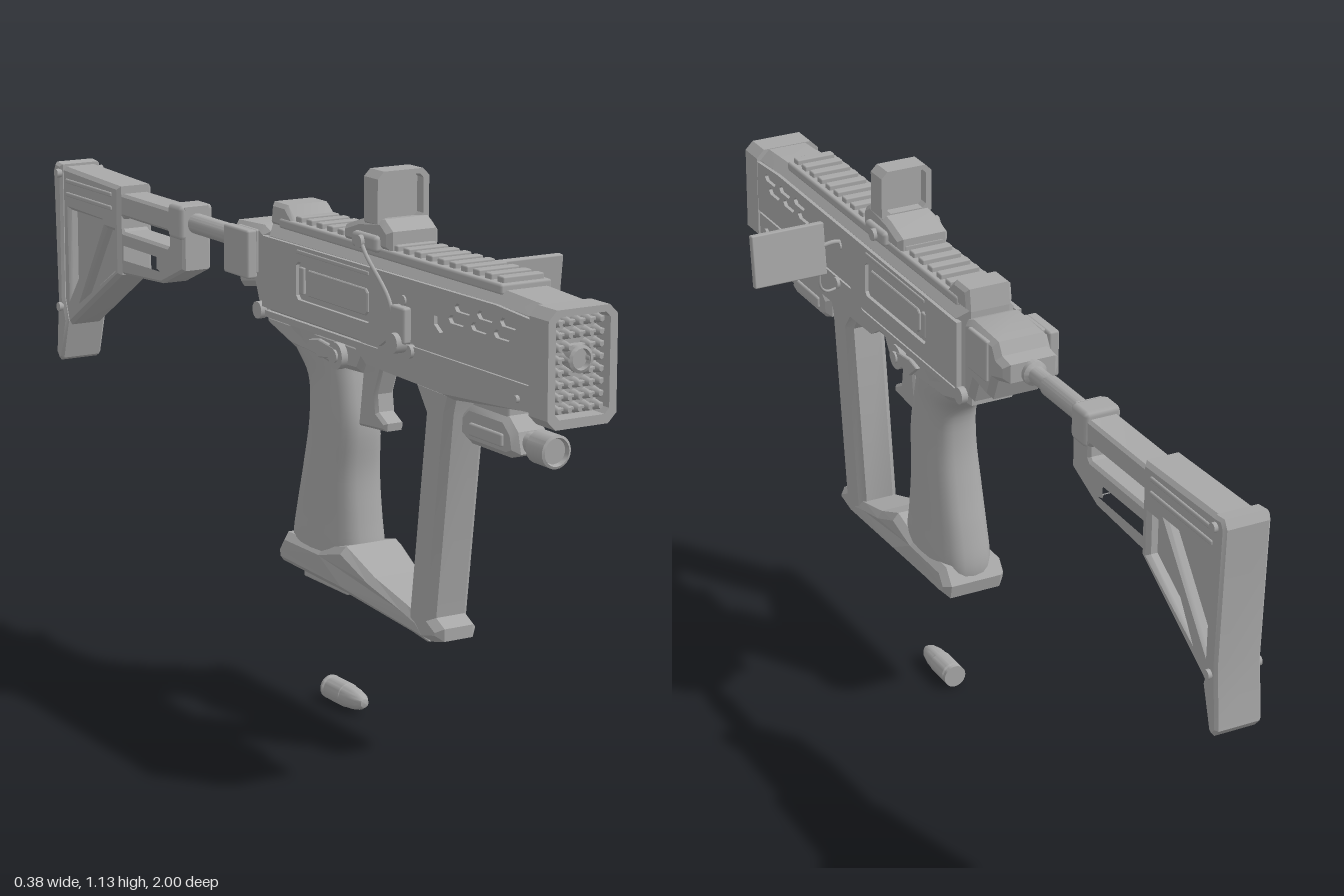
import * as THREE from 'three';
import { toCreasedNormals } from 'three/addons/utils/BufferGeometryUtils.js';
import { RoundedBoxGeometry } from 'three/addons/geometries/RoundedBoxGeometry.js';

const metal = new THREE.MeshStandardMaterial({ color: 0xa8a8a8 });
metal.name = 'plain grey';

const toShape = (pts, holes = []) => {
  const s = new THREE.Shape(pts.map(p => new THREE.Vector2(...p)));
  holes.forEach(h => s.holes.push(new THREE.Path(h.map(p => new THREE.Vector2(...p)))));
  return s;
};

// Chamfered slab from a side outline of [z, y] points, centred on x
function slab(pts, halfWidth, bevel = 0.01, holes = []) {
  const depth = 2 * (halfWidth - bevel);
  const g = new THREE.ExtrudeGeometry(toShape(pts, holes), {
    depth, bevelEnabled: bevel > 0, bevelThickness: bevel, bevelSize: bevel, bevelOffset: -bevel, bevelSegments: 1,
  });
  g.translate(0, 0, -depth / 2).rotateY(-Math.PI / 2);
  return toCreasedNormals(g, 0.5);
}

const rect = (z0, y0, z1, y1, c = 0) => [
  [z0 + c, y0], [z1 - c, y0], [z1, y0 + c], [z1, y1 - c], [z1 - c, y1], [z0 + c, y1], [z0, y1 - c], [z0, y0 + c]]
  .filter((p, i) => c > 0 || i % 2 === 0);

// Turned part along z from [radius, z] points listed by falling z
function turned(profile, y, seg = 24) {
  const g = new THREE.LatheGeometry(profile.map(([r, z]) => new THREE.Vector2(r, z)).reverse(), seg);
  return toCreasedNormals(g.rotateX(Math.PI / 2).translate(0, y, 0), 0.5);
}

// Rounded column from rows of [y, front z, back z, half width], bottom to top
function column(rows, seg = 28) {
  const pos = [], idx = [];
  const curve = new THREE.CatmullRomCurve3(rows.map(r => new THREE.Vector3(r[1], r[0], r[2])));
  const widths = new THREE.CatmullRomCurve3(rows.map(r => new THREE.Vector3(r[3], 0, 0)));
  const n = rows.length * 4;
  for (let i = 0; i <= n; i++) {
    const p = curve.getPoint(i / n), w = widths.getPoint(i / n).x;
    for (let j = 0; j < seg; j++) {
      const a = j / seg * Math.PI * 2, c = Math.cos(a), s = Math.sin(a);
      pos.push(w * Math.sign(c) * Math.abs(c) ** 0.75, p.y, (p.x + p.z) / 2 + (p.x - p.z) / 2 * Math.sign(s) * Math.abs(s) ** 0.75);
      const k = i * seg + j, m = i * seg + (j + 1) % seg;
      if (i < n) idx.push(k, k + seg, m, m, k + seg, m + seg);
    }
  }
  const g = new THREE.BufferGeometry();
  g.setAttribute('position', new THREE.Float32BufferAttribute(pos, 3));
  g.setIndex(idx);
  g.computeVertexNormals();
  return g;
}

export function createModel() {
  const model = new THREE.Group();
  const body = new THREE.Group();
  body.name = 'body';
  body.position.x = -0.088;
  model.add(body);
  const add = (name, geo, x = 0, y = 0, z = 0) => {
    const m = new THREE.Mesh(geo, metal);
    m.name = name;
    m.position.set(x, y, z);
    body.add(m);
    return m;
  };
  const box = (name, w, h, d, x, y, z, r = 0.005) => add(name, new RoundedBoxGeometry(w, h, d, 1, r), x, y, z);
  const both = fn => [1, -1].forEach(fn);
  const disc = (name, r, w, x, y, z, seg = 16) =>
    add(name, new THREE.CylinderGeometry(r, r, w, seg).rotateZ(Math.PI / 2), x, y, z);

  // Receiver
  add('receiver', slab([[0.972, 0.77], [0.65, 0.735], [0.37, 0.75], [0.34, 0.775], [-0.02, 0.775],
    [-0.02, 0.968], [0.83, 0.972], [0.972, 0.965]], 0.066, 0.022));
  const slots = [];
  [[0.9, 0.915], [0.88, 0.89]].forEach(([z, y]) => {
    for (let i = 0; i < 3; i++) slots.push(rect(z - i * 0.075 - 0.055, y, z - i * 0.075, y + 0.016, 0.007));
  });
  const panel = rect(0.12, 0.838, 0.4, 0.915, 0.008);
  const badge = [[0.67, 0.895], [0.625, 0.895], [0.625, 0.878], [0.645, 0.865], [0.665, 0.87]];
  const upper = [[0.985, 0.828], [0.475, 0.828], [0.43, 0.8], [-0.015, 0.8], [-0.015, 0.945], [0.83, 0.95], [0.985, 0.94]];
  const lower = [[0.97, 0.775], [0.65, 0.75], [0.38, 0.755], [0.34, 0.78], [-0.01, 0.78],
    [-0.01, 0.793], [0.42, 0.793], [0.475, 0.82], [0.97, 0.82]];
  both(s => {
    add('upperSidePlate', slab(upper, 0.006, 0, [...slots, panel, badge]), s * 0.068);
    add('lowerSidePlate', slab(lower, 0.006, 0), s * 0.065);
    add('portCover', slab(rect(0.155, 0.85, 0.385, 0.903, 0.008), 0.003, 0.002), s * 0.069);
    box('portLatch', 0.008, 0.055, 0.018, s * 0.069, 0.877, 0.136, 0.003);
    [[0.54, 0.81, 0.013], [0.52, 0.905, 0.01], [-0.03, 0.79, 0.018], [0.9, 0.79, 0.007]].forEach(([z, y, r]) =>
      disc('pin', r, 0.014, s * 0.071, y, z));
    disc('selectorHub', 0.027, 0.016, s * 0.064, 0.75, 0.265, 20);
    disc('selectorPin', 0.013, 0.026, s * 0.064, 0.75, 0.265);
    add('selectorLever', slab([[0.27, 0.745], [0.2, 0.735], [0.165, 0.765], [0.2, 0.772], [0.26, 0.765]], 0.005, 0.002), s * 0.068);
    box('bodyRidge', 0.006, 0.008, 0.27, s * 0.074, 0.935, 0.26, 0.002);
  });
  add('lowerReceiver', slab([[0.36, 0.78], [0.33, 0.725], [0.22, 0.72], [0.07, 0.73], [-0.03, 0.76], [-0.03, 0.785]], 0.058, 0.012));

  // Front frame and grille
  const frame = new THREE.ExtrudeGeometry(toShape(rect(-0.075, 0.75, 0.075, 0.968, 0.018), [rect(-0.059, 0.768, 0.059, 0.955, 0.01)]),
    { depth: 0.06, bevelEnabled: false });
  add('frontFrame', frame, 0, 0, 0.94);
  for (let r = 0; r < 8; r++) {
    const y = 0.782 + r * 0.0227;
    box('grilleBar', 0.116, 0.007, 0.012, 0, y, 0.978, 0.002);
    for (let c = -2; c <= 2; c++) {
      if (c === 0 && Math.abs(y - 0.873) < 0.03) continue;
      add('grilleStud', new THREE.CylinderGeometry(0.005, 0.011, 0.022, 6).rotateX(Math.PI / 2), c * 0.0225, y, 0.983);
    }
  }
  add('muzzle', turned([[0, 0.985], [0.019, 0.985], [0.02, 0.997], [0.026, 0.994], [0.026, 0.96]], 0.873));

  // Top rail and rear block
  box('railBase', 0.112, 0.02, 0.8, 0, 0.974, 0.42);
  for (let i = 0; i < 19; i++) box('railTooth', 0.09, 0.016, 0.022, 0, 0.987, 0.8 - i * 0.04, 0.003);
  add('rearSightBlock', slab([[0.09, 0.965], [0.04, 1.012], [-0.015, 1.012], [-0.022, 0.965]], 0.052, 0.008));

  // Optic
  add('opticBase', slab([[0.44, 0.98], [0.44, 1.02], [0.41, 1.04], [0.33, 1.03], [0.27, 1.01], [0.27, 0.98]], 0.058, 0.01));
  box('opticClamp', 0.14, 0.032, 0.09, 0, 0.992, 0.365, 0.008);
  const hood = new THREE.ExtrudeGeometry(toShape(rect(-0.058, 1.015, 0.058, 1.13, 0.014), [rect(-0.045, 1.035, 0.045, 1.12, 0.008)]),
    { depth: 0.05, bevelEnabled: false });
  add('opticHood', hood, 0, 0, 0.35);
  box('opticLens', 0.092, 0.088, 0.006, 0, 1.077, 0.375, 0.002);
  both(s => disc('opticKnob', 0.013, 0.014, s * 0.071, 0.992, 0.36));

  // Side screen on its arm and cable
  const screen = box('sideScreen', 0.168, 0.116, 0.016, 0.193, 0.905, 0.525, 0.003);
  screen.rotation.x = 0.12;
  const tube = (name, pts, r) => add(name, new THREE.TubeGeometry(
    new THREE.CatmullRomCurve3(pts.map(p => new THREE.Vector3(...p))), 24, r, 8));
  tube('screenArm', [[0.065, 0.912, 0.52], [0.09, 0.916, 0.52], [0.112, 0.912, 0.522]], 0.005);
  tube('screenCable', [[0.065, 0.8, 0.54], [0.1, 0.798, 0.535], [0.117, 0.815, 0.53], [0.12, 0.852, 0.525]], 0.003);

  // Cable and knobs on the right side
  tube('sideCable', [[-0.07, 0.99, 0.36], [-0.082, 0.97, 0.4], [-0.082, 0.9, 0.48], [-0.085, 0.84, 0.51]], 0.004);
  disc('sideKnob', 0.02, 0.035, -0.084, 0.825, 0.52);
  box('sideSwitch', 0.025, 0.07, 0.05, -0.078, 0.86, 0.52);

  // Under-barrel light
  add('lightHead', turned([[0, 0.915], [0.024, 0.915], [0.027, 0.924], [0.032, 0.922], [0.032, 0.87], [0.022, 0.86],
    [0.022, 0.84]], 0.687));
  add('lightBody', slab([[0.85, 0.67], [0.84, 0.71], [0.81, 0.735], [0.69, 0.735], [0.66, 0.71], [0.66, 0.67], [0.69, 0.658], [0.82, 0.658]], 0.04, 0.012));
  box('lightMount', 0.06, 0.03, 0.12, 0, 0.738, 0.75);
  both(s => box('lightSwitch', 0.012, 0.025, 0.11, s * 0.04, 0.69, 0.755, 0.004));

  // Front post, lower guard and trigger
  add('frontPost', slab([[0.645, 0.75], [0.507, 0.75], [0.545, 0.69], [0.49, 0.28], [0.5, 0.24], [0.545, 0.235],
    [0.605, 0.25], [0.605, 0.275], [0.575, 0.29], [0.63, 0.7]], 0.046, 0.014));
  const guard = slab([[0.56, 0.24], [0.285, 0.272], [0.04, 0.28], [0.034, 0.31], [0.06, 0.345], [0.2, 0.345],
    [0.285, 0.367], [0.38, 0.325], [0.48, 0.295], [0.53, 0.28]], 0.072, 0.014);
  const gp = guard.attributes.position;
  for (let i = 0; i < gp.count; i++) // narrow the guard towards the post
    gp.setX(i, gp.getX(i) * THREE.MathUtils.lerp(1, 0.64, THREE.MathUtils.smoothstep(gp.getZ(i), 0.25, 0.55)));
  guard.computeVertexNormals();
  add('lowerGuard', guard);
  add('trigger', slab([[0.36, 0.745], [0.29, 0.745], [0.27, 0.605], [0.37, 0.612], [0.372, 0.628], [0.34, 0.645], [0.335, 0.68]], 0.022, 0.006));

  // Grip and base plate
  add('grip', column([[0.29, 0.28, 0.045, 0.064], [0.34, 0.285, 0.04, 0.066], [0.41, 0.275, 0.055, 0.063], [0.5, 0.265, 0.08, 0.06],
    [0.6, 0.27, 0.1, 0.056], [0.68, 0.255, 0.095, 0.054], [0.73, 0.245, 0.045, 0.057], [0.785, 0.25, -0.03, 0.06]]));
  box('basePlate', 0.1, 0.03, 0.17, 0, 0.276, 0.19);

  // Stock hinge
  add('stockHinge', slab([[-0.02, 0.785], [-0.02, 0.95], [-0.045, 0.96], [-0.15, 0.955], [-0.165, 0.93], [-0.2, 0.925],
    [-0.2, 0.885], [-0.15, 0.87], [-0.13, 0.82], [-0.07, 0.83], [-0.05, 0.78]], 0.062, 0.012));
  box('hingeLatch', 0.024, 0.1, 0.1, -0.076, 0.9, -0.1);
  both(s => box('hingePlate', 0.012, 0.09, 0.08, s * 0.062, 0.905, -0.09, 0.004));

  // Stock tube and skeleton
  add('stockTube', turned([[0.026, -0.15], [0.026, -0.21], [0.018, -0.215], [0.018, -0.26], [0.022, -0.27], [0.022, -0.75]], 0.9));
  add('stockFrame', slab([[-0.42, 0.937], [-0.42, 0.8], [-0.52, 0.757], [-0.72, 0.745], [-0.72, 0.925], [-0.48, 0.925]], 0.034, 0.006,
    [rect(-0.7, 0.842, -0.485, 0.875, 0.006), [[-0.7, 0.773], [-0.7, 0.818], [-0.535, 0.818], [-0.535, 0.79], [-0.515, 0.78]]]));
  box('stockCollar', 0.08, 0.075, 0.06, 0, 0.902, -0.45, 0.01);
  add('stockButt', slab([[-0.7, 0.942], [-0.975, 0.95], [-0.975, 0.575], [-0.94, 0.595], [-0.7, 0.745]], 0.042, 0.008,
    [[[-0.785, 0.855], [-0.94, 0.855], [-0.94, 0.655]], [[-0.725, 0.84], [-0.765, 0.84], [-0.89, 0.655], [-0.725, 0.755]]]));
  add('stockWeb', slab([[-0.71, 0.9], [-0.965, 0.9], [-0.965, 0.61], [-0.935, 0.61], [-0.71, 0.755]], 0.02, 0));
  both(s => [0.89, 0.92].forEach(y => box('stockRib', 0.008, 0.01, 0.22, s * 0.042, y, -0.84, 0.003)));
  add('buttPad', slab([[-0.962, 0.955], [-0.99, 0.958], [-1, 0.94], [-0.988, 0.65], [-1, 0.52], [-0.985, 0.503],
    [-0.972, 0.51], [-0.945, 0.6], [-0.962, 0.65]], 0.05, 0.006));
  both(s => [0.63, 0.935].forEach(y => disc('padPin', 0.01, 0.012, s * 0.052, y, -0.97)));

  // Loose round below
  add('looseRound', turned([[0, 0.265], [0.009, 0.262], [0.017, 0.248], [0.022, 0.225], [0.0235, 0.2], [0.025, 0.198],
    [0.025, 0.145], [0.022, 0.142], [0.022, 0.138], [0.025, 0.135], [0.025, 0.13], [0, 0.13]], 0.025));
  return model;
}
